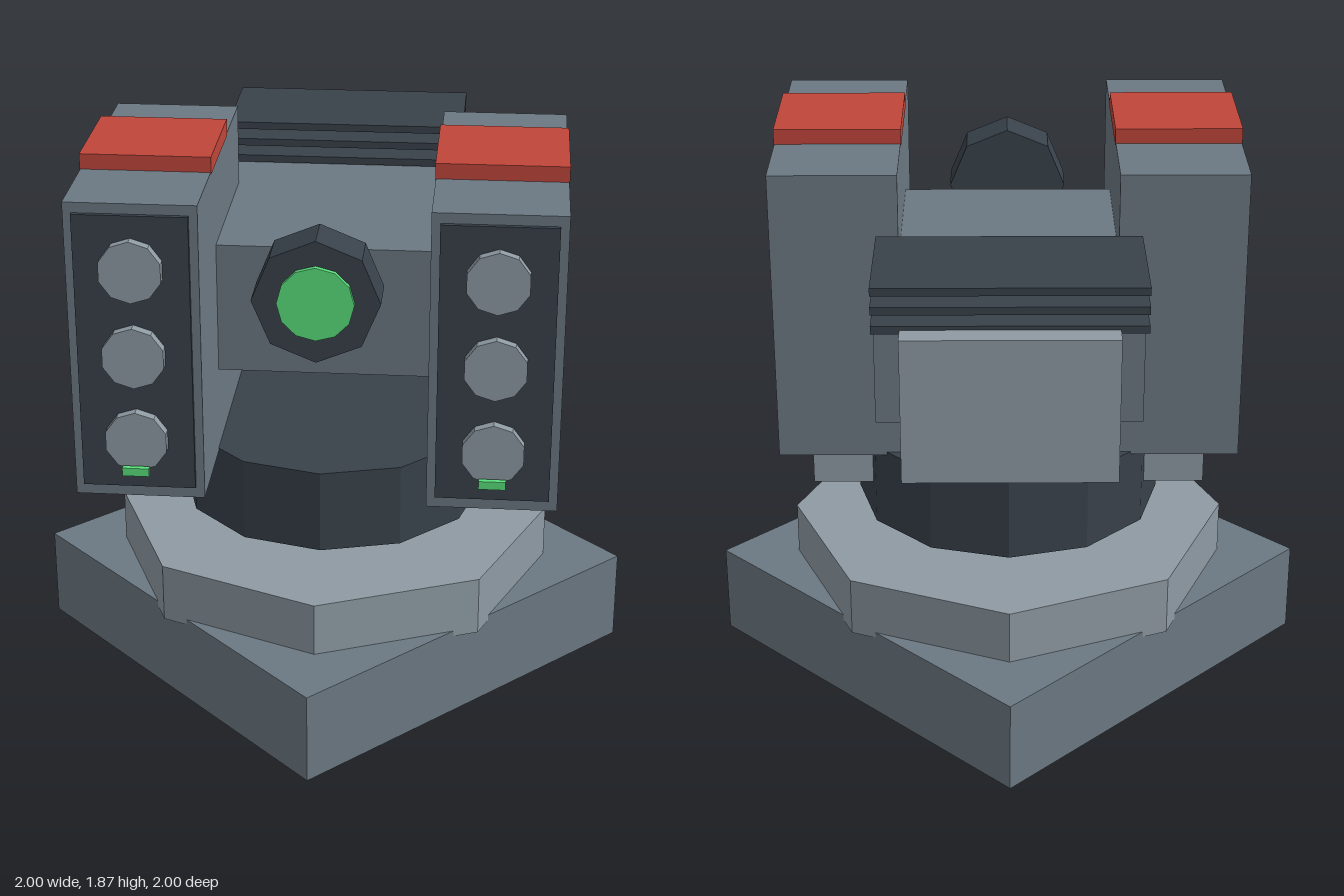
import * as THREE from 'three';

const material = (color) => new THREE.MeshStandardMaterial({ color, flatShading: true });

export function createModel() {
  const model = new THREE.Group();
  model.name = 'turret';

  const slate = material(0x6b7882);
  const pale = material(0x8e9aa3);
  const dark = material(0x38414a);
  const red = material(0xc0453a);
  const green = material(0x58e07c);

  const add = (parent, name, geometry, mat, x, y, z) => {
    const mesh = new THREE.Mesh(geometry, mat);
    mesh.name = name;
    mesh.position.set(x, y, z);
    parent.add(mesh);
    return mesh;
  };

  // Box given by its extents along each axis
  const box = (parent, name, mat, [x0, x1], [y0, y1], [z0, z1]) =>
    add(parent, name, new THREE.BoxGeometry(x1 - x0, y1 - y0, z1 - z0), mat,
      (x0 + x1) / 2, (y0 + y1) / 2, (z0 + z1) / 2);

  // Upright prism between two heights
  const prism = (name, mat, radius, sides, y0, y1) =>
    add(model, name, new THREE.CylinderGeometry(radius, radius, y1 - y0, sides), mat, 0, (y0 + y1) / 2, 0);

  // Prism lying along z, facing forward
  const disc = (parent, name, mat, radius, sides, x, y, z0, z1) =>
    add(parent, name, new THREE.CylinderGeometry(radius, radius, z1 - z0, sides).rotateX(Math.PI / 2),
      mat, x, y, (z0 + z1) / 2);

  // Stacked base: diamond plinth, octagonal ring, hovering turntable
  prism('basePlinth', slate, 1, 4, 0, 0.31);
  prism('baseRing', pale, 0.74, 8, 0.29, 0.49);
  prism('turntable', dark, 0.515, 12, 0.57, 0.85);

  // Head and rear power unit
  box(model, 'headBody', slate, [-0.42, 0.42], [1.115, 1.55], [-0.615, 0.31]);
  box(model, 'rearUnit', pale, [-0.325, 0.325], [1.1, 1.565], [-0.995, -0.515]);

  // Cooling fins above the rear unit
  for (let i = 0; i < 3; i++) {
    const y = 1.565 + i * 0.06;
    box(model, 'coolingFin', dark, [-0.41, 0.41], [y - 0.0125, y + 0.0125], [-0.92, -0.508]);
  }

  // Sensor eye
  disc(model, 'eyeHousing', dark, 0.2, 8, 0, 1.5, 0.49, 0.643);
  disc(model, 'eyeLens', green, 0.12, 12, 0, 1.5, 0.63, 0.66);

  // Launcher pods, one on each side
  for (const side of [-1, 1]) {
    const pod = new THREE.Group();
    pod.name = side > 0 ? 'leftPod' : 'rightPod';
    pod.position.x = side * 0.555;
    model.add(pod);

    box(pod, 'podBody', slate, [-0.205, 0.205], [0.84, 1.82], [-0.3, 0.69]);
    box(pod, 'podBracket', pale, [-0.1, 0.1], [0.7, 0.86], [-0.222, 0.222]);
    box(pod, 'podTopPlate', red, [-0.207, 0.207], [1.815, 1.87], [0, 0.387]);
    box(pod, 'podFace', dark, [-0.178, 0.178], [0.88, 1.787], [0.68, 0.705]);

    for (let i = 0; i < 3; i++) {
      disc(pod, 'launchTube', pale, 0.1, 10, 0, 1.05 + i * 0.283, 0.69, 0.738);
    }
    box(pod, 'statusLight', green, [-0.042, 0.042], [0.945, 0.972], [0.747, 0.765]);
  }

  return model;
}
